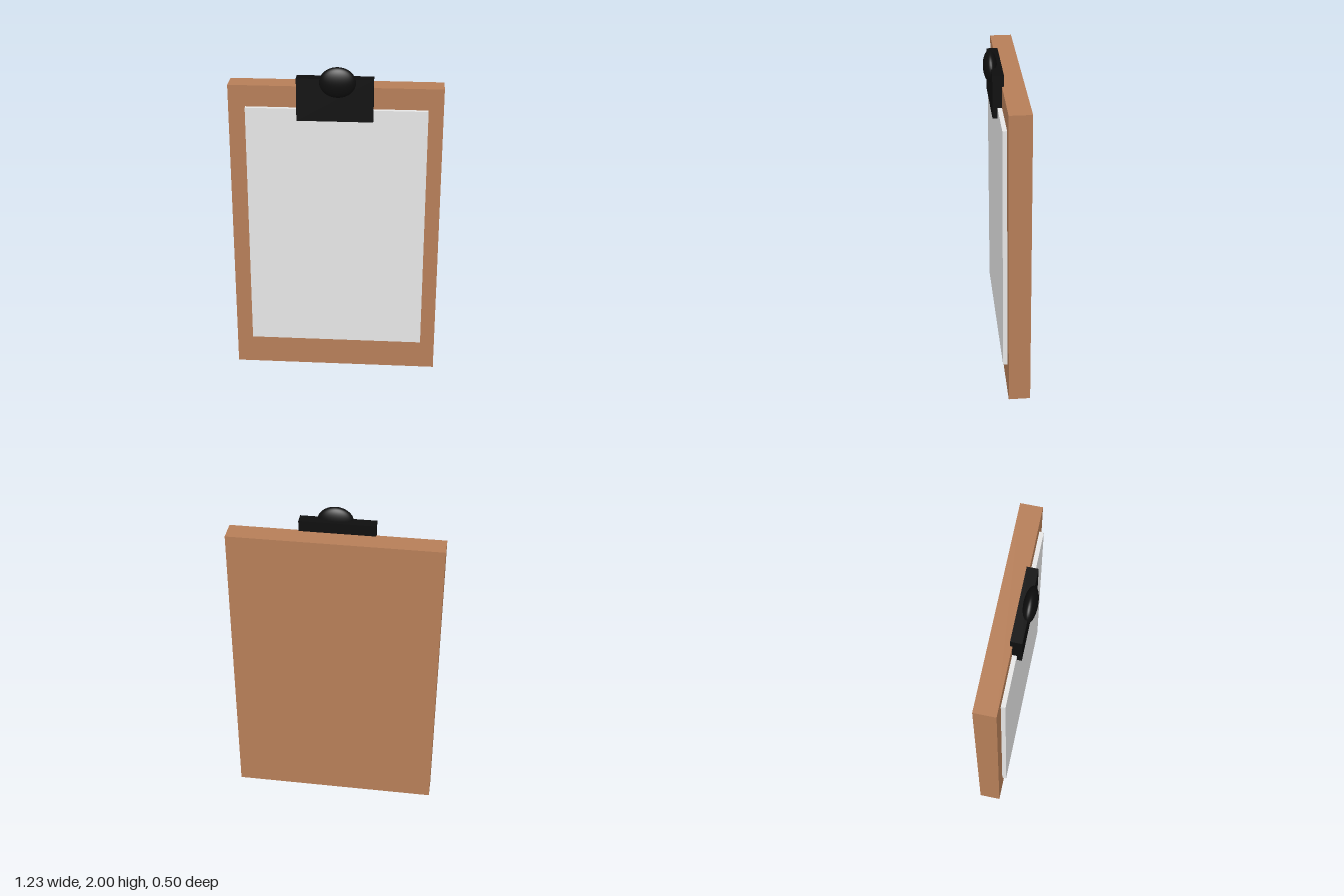
import * as THREE from 'three';

const flat = (name, color) => {
  const m = new THREE.MeshStandardMaterial({ color });
  m.name = name;
  return m;
};

export function createModel() {
  const wood = flat('brown wood', 0xb67e58);
  const white = flat('paper white', 0xe6e6e6);
  const black = flat('clip black', 0x0e0e0e);

  const model = new THREE.Group();
  model.name = 'clipboard';

  // A box given by its extents along each axis
  const slab = (name, material, [x0, x1], [y0, y1], [z0, z1]) => {
    const mesh = new THREE.Mesh(new THREE.BoxGeometry(x1 - x0, y1 - y0, z1 - z0), material);
    mesh.position.set((x0 + x1) / 2, (y0 + y1) / 2, (z0 + z1) / 2);
    mesh.name = name;
    model.add(mesh);
  };

  // Backing board, paper stack and clip plate
  slab('board', wood, [-0.626, 0.626], [0, 1.865], [-0.065, 0.065]);
  slab('paper', white, [-0.525, 0.538], [0.195, 1.737], [0.06, 0.091]);
  slab('clipPlate', black, [-0.222, 0.222], [1.675, 1.93], [0.053, 0.119]);

  // Flattened round thumb grip on the clip
  const grip = new THREE.Mesh(new THREE.SphereGeometry(1, 32, 20), black);
  grip.scale.set(0.106, 0.09, 0.04);
  grip.position.set(0.016, 1.91, 0.116);
  grip.name = 'clipGrip';
  model.add(grip);

  // The whole clipboard stands turned about the vertical axis
  model.rotation.y = -0.308;
  const root = new THREE.Group();
  root.name = 'model';
  root.add(model);
  return root;
}
